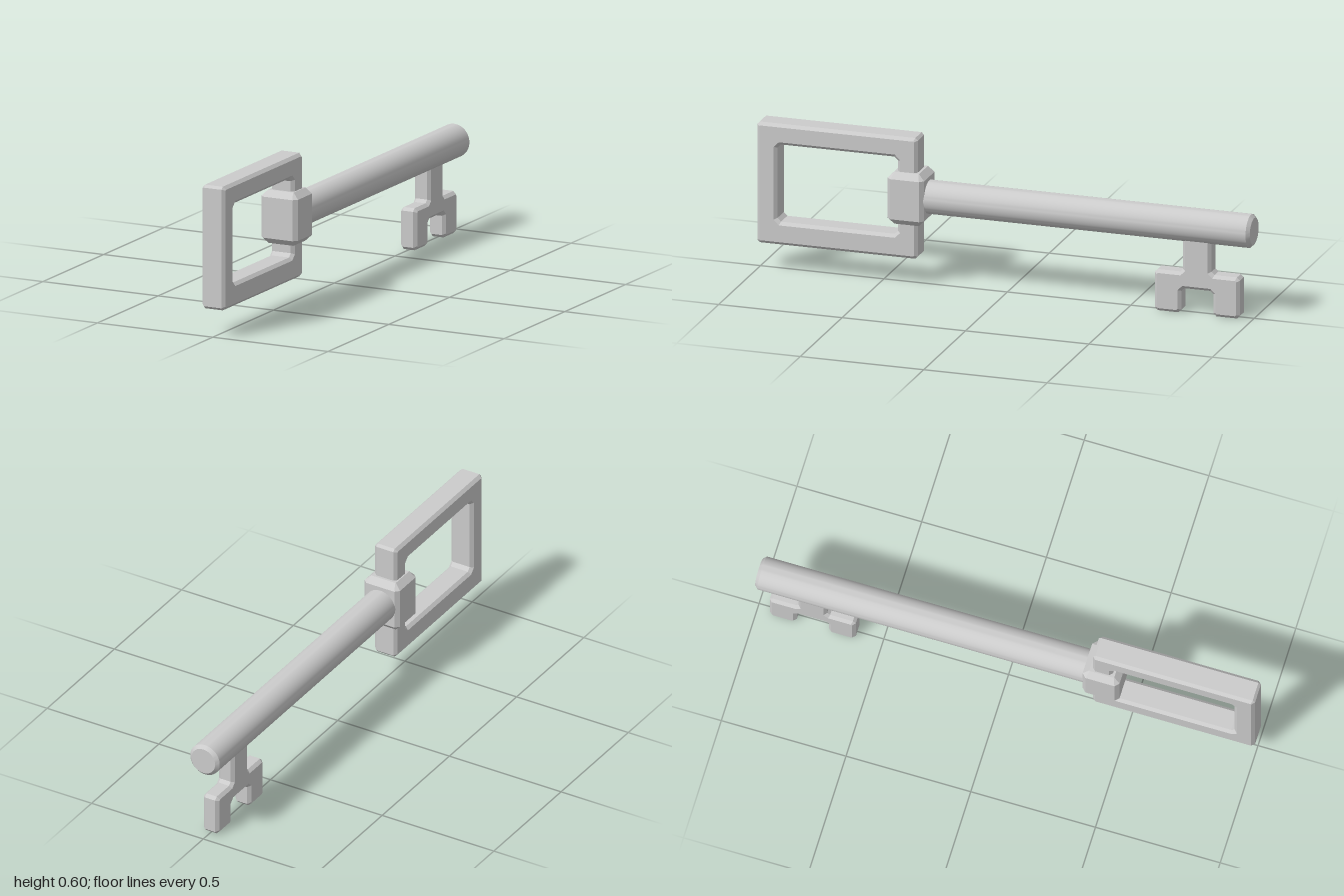
import * as THREE from 'three';
import { toCreasedNormals } from 'three/addons/utils/BufferGeometryUtils.js';

const material = new THREE.MeshStandardMaterial({ color: 0xcccccc });

// Closed outline with every corner cut off by the given distance
function cutCorners(corners, cut) {
  const pts = corners.map(([x, y]) => new THREE.Vector2(x, y));
  const n = pts.length;
  return pts.flatMap((p, i) => [pts[(i + n - 1) % n], pts[(i + 1) % n]].map(
    (q) => p.clone().add(q.clone().sub(p).setLength(cut))));
}

const rect = (x0, y0, x1, y1) => [[x0, y0], [x1, y0], [x1, y1], [x0, y1]];

// Chamfered slab whose outer size stays exactly outline x thickness, centred on its depth
function slab(outline, thickness, bevel, hole) {
  const shape = new THREE.Shape(outline);
  if (hole) shape.holes.push(new THREE.Path(hole));
  const geometry = new THREE.ExtrudeGeometry(shape, {
    depth: thickness - 2 * bevel,
    bevelThickness: bevel,
    bevelSize: bevel,
    bevelOffset: -bevel,
    bevelSegments: 1,
  });
  return geometry.translate(0, 0, bevel - thickness / 2);
}

export function createModel() {
  const group = new THREE.Group();
  const add = (name, geometry) => {
    const mesh = new THREE.Mesh(geometry, material);
    mesh.name = name;
    group.add(mesh);
  };

  // Rectangular handle frame, drawn in (z, y)
  add('handleFrame', slab(
    cutCorners(rect(0.35, 0.108, 1, 0.596), 0.01), 0.1, 0.012,
    cutCorners(rect(0.43, 0.2, 0.918, 0.512), 0.014),
  ).rotateY(-Math.PI / 2));

  // Chamfered block joining handle and shaft
  add('collar', slab(
    cutCorners(rect(-0.079, -0.074, 0.079, 0.074), 0.016), 0.21, 0.024,
  ).rotateX(-Math.PI / 2).translate(0, 0.352, 0.39));

  // Round shaft with a chamfered tip
  const profile = [[0, -1], [0.053, -1], [0.066, -0.987], [0.066, 0.34], [0, 0.34]]
    .map(([r, z]) => new THREE.Vector2(r, z));
  const shaft = new THREE.LatheGeometry(profile, 48).rotateX(Math.PI / 2).translate(0, 0.352, 0);
  add('shaft', toCreasedNormals(shaft, Math.PI / 6));

  // Two-toothed bit under the shaft, drawn in (z, y)
  const bit = [
    [-0.95, 0], [-0.842, 0], [-0.842, 0.1], [-0.713, 0.1], [-0.713, 0], [-0.605, 0],
    [-0.605, 0.166], [-0.72, 0.166], [-0.72, 0.32], [-0.835, 0.32], [-0.835, 0.166], [-0.95, 0.166],
  ];
  add('bit', slab(cutCorners(bit, 0.012), 0.07, 0.012).rotateY(-Math.PI / 2));

  return group;
}
